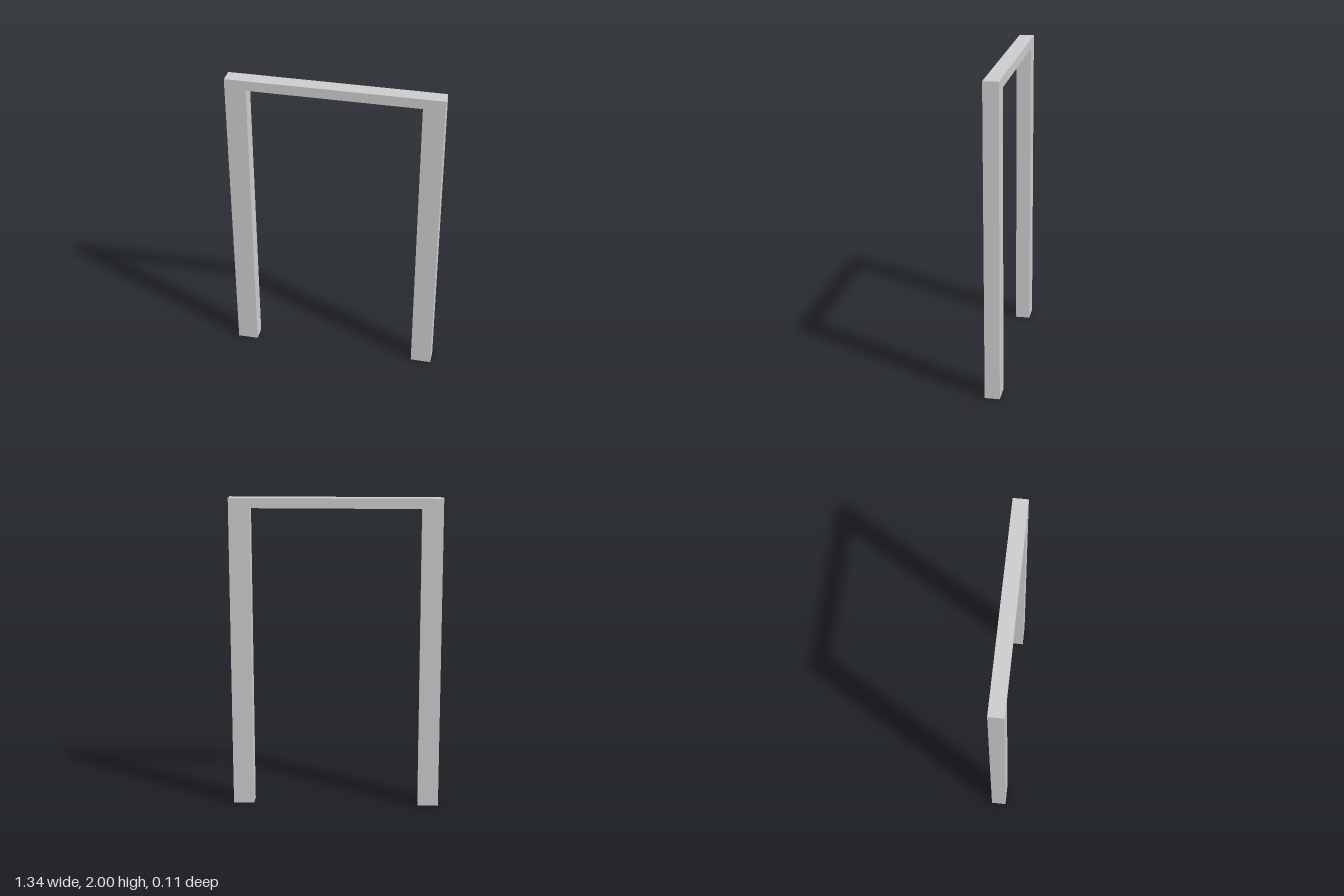
import * as THREE from 'three';

export function createModel() {
  const group = new THREE.Group();
  const halfWidth = 0.67, height = 2, depth = 0.095;
  const inner = 0.537, beamBottom = 1.936;

  // One-piece portal outline: two legs joined by a thin lintel
  const outline = new THREE.Shape([
    [-halfWidth, 0], [-inner, 0], [-inner, beamBottom], [inner, beamBottom],
    [inner, 0], [halfWidth, 0], [halfWidth, height], [-halfWidth, height],
  ].map(([x, y]) => new THREE.Vector2(x, y)));

  const geometry = new THREE.ExtrudeGeometry(outline, { depth, bevelEnabled: false });
  geometry.translate(0, 0, -depth / 2);

  const frame = new THREE.Mesh(geometry, new THREE.MeshStandardMaterial({ color: 0xcccccc }));
  frame.name = 'doorFrame';
  frame.rotation.y = -0.009; // the frame stands very slightly askew
  group.add(frame);
  return group;
}
